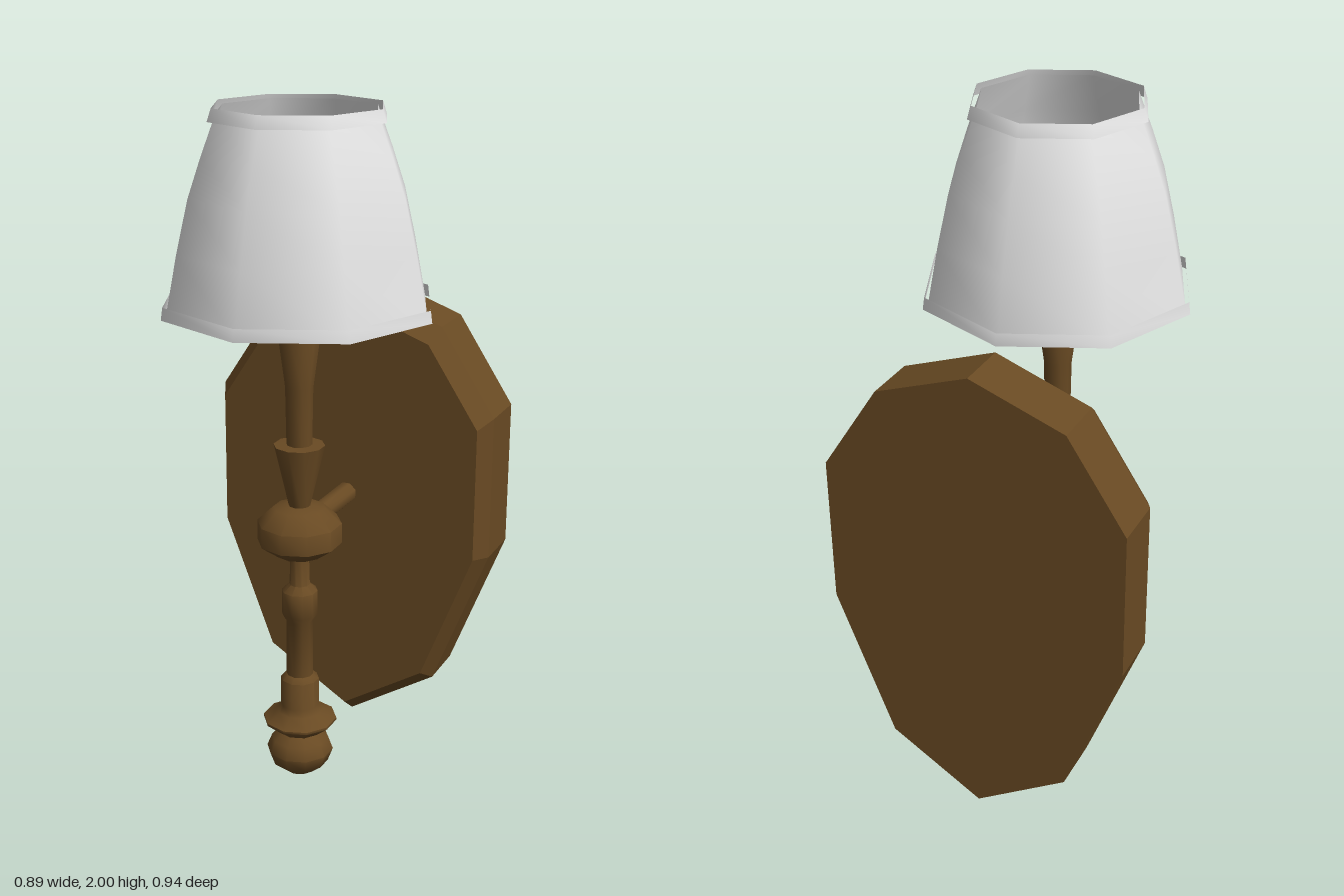
import * as THREE from 'three';
import { toCreasedNormals } from 'three/addons/utils/BufferGeometryUtils.js';

const STEM_Z = 0.078;

export function createModel() {
  const model = new THREE.Group();
  model.name = 'wallLamp';

  const bronze = new THREE.MeshStandardMaterial({ color: 0x694a23, side: THREE.DoubleSide });
  bronze.name = 'bronze';
  const white = new THREE.MeshStandardMaterial({ color: 0xe6e6e6, side: THREE.DoubleSide });
  white.name = 'white';

  const add = (name, geometry, material) => {
    const mesh = new THREE.Mesh(geometry, material);
    mesh.name = name;
    model.add(mesh);
    return mesh;
  };

  // Turned part around the stem axis, from [radius, height] pairs
  const turned = (name, profile, sides, material, start = 0, sweep = Math.PI * 2) => {
    const points = profile.map(([r, y]) => new THREE.Vector2(r, y));
    const geometry = toCreasedNormals(new THREE.LatheGeometry(points, sides, start, sweep), 0.9);
    add(name, geometry, material).position.z = STEM_Z;
  };

  // Wall plate: ten-sided slab with its front edge bevelled
  const half = [[0, 1.43], [0.275, 1.33], [0.445, 1.07], [0.445, 0.63], [0.275, 0.19], [0, 0.02]];
  const mirrored = half.slice(1, -1).reverse().map(([x, y]) => [-x, y]);
  const outline = [...half, ...mirrored].map(([x, y]) => new THREE.Vector2(x, y - 0.725));
  const plate = new THREE.ExtrudeGeometry(new THREE.Shape(outline), {
    depth: 0.22, steps: 2, bevelEnabled: false,
  });
  const pos = plate.attributes.position;
  for (let i = 0; i < pos.count; i++) {
    const z = pos.getZ(i);
    if (z > 0.2) pos.setXY(i, pos.getX(i) * 0.932, pos.getY(i) * 0.932);
    else if (z > 0.05) pos.setZ(i, 0.16);
  }
  plate.computeVertexNormals();
  add('wallPlate', plate, bronze).position.set(0, 0.725, -0.475);

  // Arm from the plate to the stem
  const armShape = new THREE.CylinderGeometry(0.033, 0.033, 0.3, 8);
  armShape.rotateY(Math.PI / 8).rotateX(Math.PI / 2);
  add('arm', toCreasedNormals(armShape, 0.9), bronze).position.set(0, 0.79, -0.12);

  // Stem pieces, from the bottom up
  turned('ballFinial', [[0, 0], [0.045, 0.008], [0.085, 0.04], [0.1, 0.08], [0.085, 0.117],
    [0.05, 0.145]], 10, bronze);
  turned('lowerCollar', [[0.05, 0.135], [0.07, 0.145], [0.11, 0.178], [0.11, 0.185],
    [0.068, 0.21], [0.057, 0.23], [0.057, 0.315], [0.04, 0.33]], 10, bronze);
  turned('lowerStem', [[0.04, 0.32], [0.04, 0.505], [0.053, 0.525], [0.053, 0.6],
    [0.03, 0.62], [0.027, 0.73]], 10, bronze);
  turned('hub', [[0.02, 0.715], [0.07, 0.717], [0.123, 0.755], [0.123, 0.815],
    [0.075, 0.86], [0.03, 0.867]], 10, bronze);
  turned('flare', [[0.03, 0.86], [0.074, 1.05], [0.037, 1.052]], 10, bronze);
  turned('upperStem', [[0.037, 1.05], [0.04, 1.22], [0.063, 1.395], [0.055, 1.427],
    [0.037, 1.43], [0.037, 1.46], [0.068, 1.465], [0.068, 1.49]], 10, bronze);

  // Socket top: four front sectors are white, the rest bronze
  const cap = [[0.068, 1.49], [0, 1.515]];
  const step = Math.PI / 5;
  turned('socketTopFront', cap, 4, white, -2 * step, 4 * step);
  turned('socketTopBack', cap, 6, bronze, 2 * step, 6 * step);

  // Open eight-sided shade with a loose trim band at each end
  turned('shade', [[0.378, 1.455], [0.345, 1.62], [0.31, 1.767], [0.272, 1.875], [0.227, 1.99]], 8, white);
  turned('shadeBottomTrim', [[0.392, 1.447], [0.387, 1.482]], 8, white);
  turned('shadeTopTrim', [[0.253, 1.965], [0.241, 2]], 8, white);

  return model;
}
